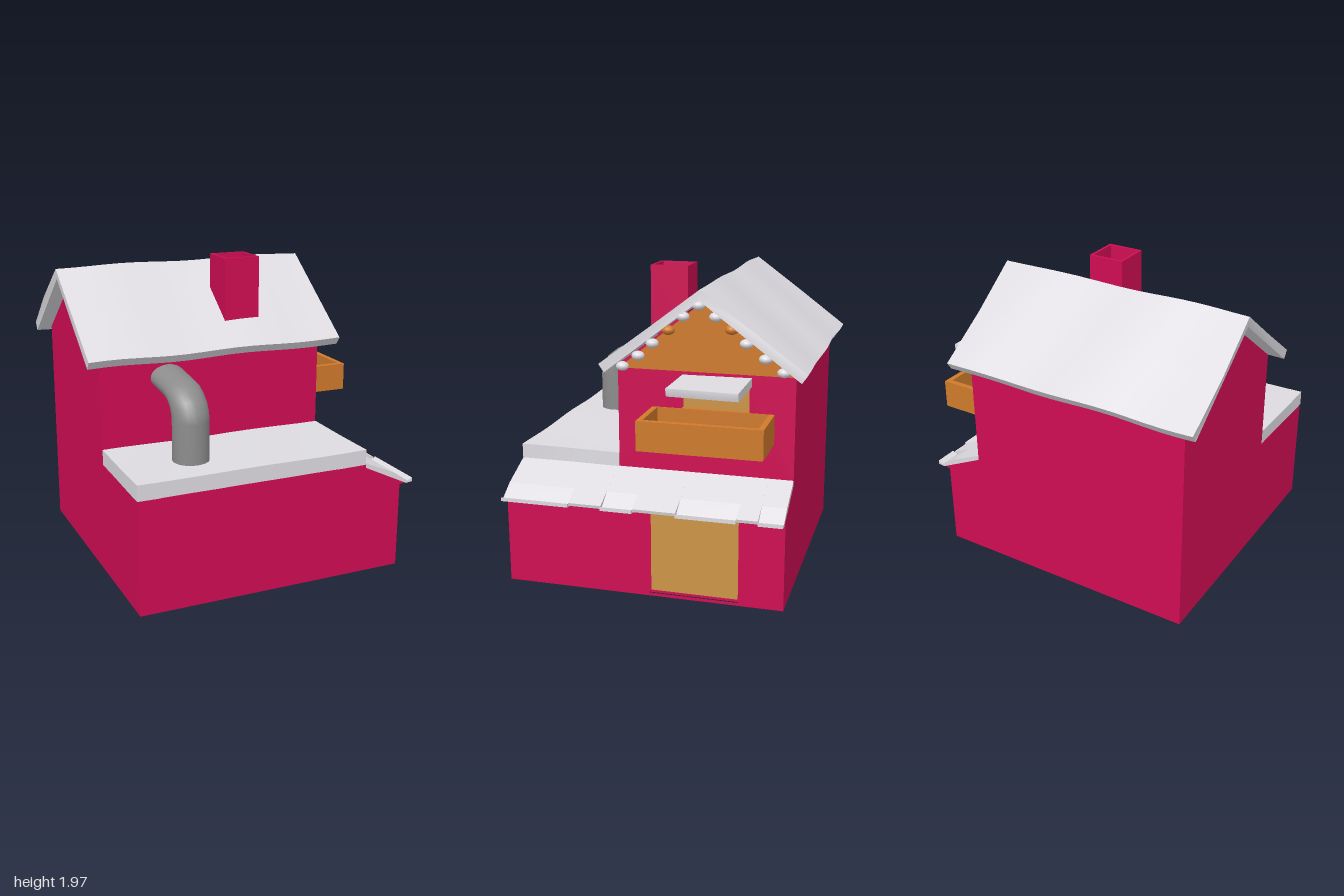
import * as THREE from 'three';
import { toCreasedNormals } from 'three/addons/utils/BufferGeometryUtils.js';

const material = (name, color) => {
  const m = new THREE.MeshStandardMaterial({ color });
  m.name = name;
  return m;
};

// Closed shape from [x, y] points
const shapeOf = (pts) => new THREE.Shape(pts.map(([x, y]) => new THREE.Vector2(x, y)));

// Profile in (x, y), extruded from z0 to z1
const alongZ = (pts, z0, z1, steps = 1) =>
  new THREE.ExtrudeGeometry(shapeOf(pts), { depth: z1 - z0, steps, bevelEnabled: false }).translate(0, 0, z0);

// Profile in (z, y), extruded from x0 to x1, with an optional hole
function alongX(pts, x0, x1, steps = 1, hole = null) {
  const flip = (p) => p.map(([z, y]) => [-z, y]);
  const shape = shapeOf(flip(pts));
  if (hole) shape.holes.push(shapeOf(flip(hole)));
  return new THREE.ExtrudeGeometry(shape, { depth: x1 - x0, steps, bevelEnabled: false })
    .rotateY(Math.PI / 2).translate(x0, 0, 0);
}

const rect = (a, b, c, d) => [[a, c], [b, c], [b, d], [a, d]];

// Gentle unevenness for the snow
function wobble(geo, amount) {
  const p = geo.attributes.position;
  for (let i = 0; i < p.count; i++) {
    const x = p.getX(i), y = p.getY(i), z = p.getZ(i);
    p.setXYZ(i,
      x + amount * Math.sin(9 * y + 5 * z),
      y + amount * 0.6 * Math.sin(7 * x + 3 * z),
      z + amount * 0.6 * Math.sin(8 * x + 4 * y));
  }
  return toCreasedNormals(geo, 0.5);
}

// Open rectangular tube standing upright
function openBox(x0, x1, z0, z1, y0, y1, t) {
  const shape = shapeOf(rect(x0, x1, -z1, -z0));
  shape.holes.push(shapeOf(rect(x0 + t, x1 - t, -z1 + t, -z0 - t)));
  return new THREE.ExtrudeGeometry(shape, { depth: y1 - y0, bevelEnabled: false })
    .rotateX(-Math.PI / 2).translate(0, y0, 0);
}

// Bent flue swept through pairs of outer and inner [z, y] points
function flueGeometry(pairs, x, halfWidth, sides = 24) {
  const pos = [], index = [];
  pairs.forEach(([oz, oy, iz, iy], i) => {
    for (let j = 0; j < sides; j++) {
      const a = (j / sides) * Math.PI * 2, c = Math.cos(a) / 2;
      pos.push(x + halfWidth * Math.sin(a), (oy + iy) / 2 + (oy - iy) * c, (oz + iz) / 2 + (oz - iz) * c);
      if (i === pairs.length - 1) continue;
      const k = i * sides + j, n = i * sides + (j + 1) % sides;
      index.push(k, n, k + sides, n, n + sides, k + sides);
    }
  });
  const geo = new THREE.BufferGeometry();
  geo.setAttribute('position', new THREE.Float32BufferAttribute(pos, 3));
  geo.setIndex(index);
  geo.computeVertexNormals();
  return geo;
}

export function createModel() {
  const red = material('red wall', 0xcf0d52);
  const orange = material('orange wood', 0xcf7a2c);
  const tan = material('tan door', 0xcc9448);
  const snow = material('snow', 0xdddbe0);
  const grey = material('grey pipe', 0x8c8c8c);

  const house = new THREE.Group();
  house.name = 'house';
  const add = (name, geo, mat, parent = house) => {
    const mesh = new THREE.Mesh(geo, mat);
    mesh.name = name;
    parent.add(mesh);
    return mesh;
  };

  // Ground floor with a recessed door
  add('groundFloor', alongZ(
    [[-0.89, 0], [0.84, 0], [0.84, 0.6], [0.63, 0.7], [0.63, 0.73], [-0.89, 0.73]], -0.85, 0.92), red);
  add('groundDoorWall', alongX(rect(-0.85, 0.92, 0, 0.58), 0.84, 0.89, 1, rect(-0.57, -0.01, 0.02, 0.55)), red);
  add('groundDoor', alongX(rect(-0.57, -0.01, 0.02, 0.55), 0.84, 0.848), tan);

  // Upper floor with gable ends and a recessed balcony door
  const gableWall = [[0.26, 0.73], [0.26, 1.4], [-0.295, 1.82], [-0.85, 1.4], [-0.85, 0.73]];
  const upperDoor = rect(-0.57, -0.15, 0.99, 1.31);
  add('upperFloor', alongX(gableWall, -0.89, 0.59), red);
  add('upperDoorWall', alongX(gableWall, 0.59, 0.63, 1, upperDoor), red);
  add('upperDoor', alongX(upperDoor, 0.59, 0.598), tan);
  add('gablePanel', alongX([[0.25, 1.38], [-0.295, 1.82], [-0.84, 1.38]], 0.63, 0.638), orange);

  // Snowy pitched roof
  add('mainRoof', wobble(alongX(
    [[0.35, 1.42], [0.03, 1.66], [-0.29, 1.9], [-0.61, 1.66], [-0.93, 1.42],
      [-0.895, 1.37], [-0.29, 1.835], [0.315, 1.37]], -0.99, 0.74, 16), 0.009), snow);

  // Snow on the flat roof
  add('flatRoofSnow', wobble(new THREE.BoxGeometry(1.52, 0.1, 0.66, 12, 1, 6).translate(-0.13, 0.78, 0.59), 0.004), snow);

  // Sloping porch with alternating plain and drooping snow edges
  const porch = new THREE.Group();
  porch.name = 'porchRoof';
  house.add(porch);
  const cuts = [-0.85, -0.7, -0.57, -0.2, 0.07, 0.27, 0.48, 0.92];
  const plain = [[0.63, 0.74], [0.97, 0.59], [0.965, 0.57], [0.63, 0.71]];
  const droop = [[0.63, 0.74], [0.85, 0.642], [0.95, 0.575], [0.985, 0.59], [0.985, 0.565], [0.94, 0.56], [0.63, 0.71]];
  for (let i = 0; i + 1 < cuts.length; i++) {
    const drooping = i % 2 === 0;
    add(drooping ? 'droopingSnow' : 'porchSnow', alongZ(drooping ? droop : plain, cuts[i], cuts[i + 1]), snow, porch);
  }
  add('porchUnderside', alongZ([[0.63, 0.71], [0.94, 0.568], [0.88, 0.556], [0.63, 0.68]], -0.849, 0.919), red, porch);

  // Balcony and its small snowy canopy
  const balcony = new THREE.Group();
  balcony.name = 'balcony';
  house.add(balcony);
  add('balconyRail', openBox(0.6, 0.975, -0.725, 0.04, 0.96, 1.145, 0.035), orange, balcony);
  add('balconyFloor', new THREE.BoxGeometry(0.32, 0.03, 0.72).translate(0.79, 0.977, -0.3425), orange, balcony);
  add('balconyCanopy', wobble(alongZ(
    [[0.62, 1.305], [0.98, 1.305], [0.99, 1.335], [0.99, 1.355], [0.62, 1.36]], -0.58, -0.15, 6), 0.005), snow);

  // Hollow chimney
  add('chimney', openBox(-0.005, 0.235, -0.08, 0.165, 1.52, 1.965, 0.018), red);

  // Bent flue
  add('flue', flueGeometry([
    [0.75, 0.8, 0.52, 0.8], [0.75, 1.08, 0.52, 1.08], [0.74, 1.14, 0.518, 1.1],
    [0.7, 1.21, 0.508, 1.125], [0.63, 1.265, 0.49, 1.145], [0.57, 1.295, 0.46, 1.157],
    [0.5, 1.308, 0.42, 1.165], [0.25, 1.34, 0.25, 1.18]], -0.443, 0.115), grey);

  // Round lights along the gable
  const lights = new THREE.Group();
  lights.name = 'gableLights';
  house.add(lights);
  const bulb = new THREE.SphereGeometry(1, 12, 8);
  const spots = [[0.2, 1.41], [0.1, 1.48], [0.01, 1.56], [-0.09, 1.645], [-0.18, 1.73], [-0.275, 1.8],
    [-0.38, 1.735], [-0.475, 1.665], [-0.565, 1.585], [-0.68, 1.5], [-0.79, 1.425]];
  spots.forEach(([z, y], i) => {
    const light = add('gableLight', bulb, i === 3 || i === 7 ? orange : snow, lights);
    light.position.set(0.72, y, z);
    light.scale.set(0.037, 0.029, 0.041);
  });

  return house;
}
